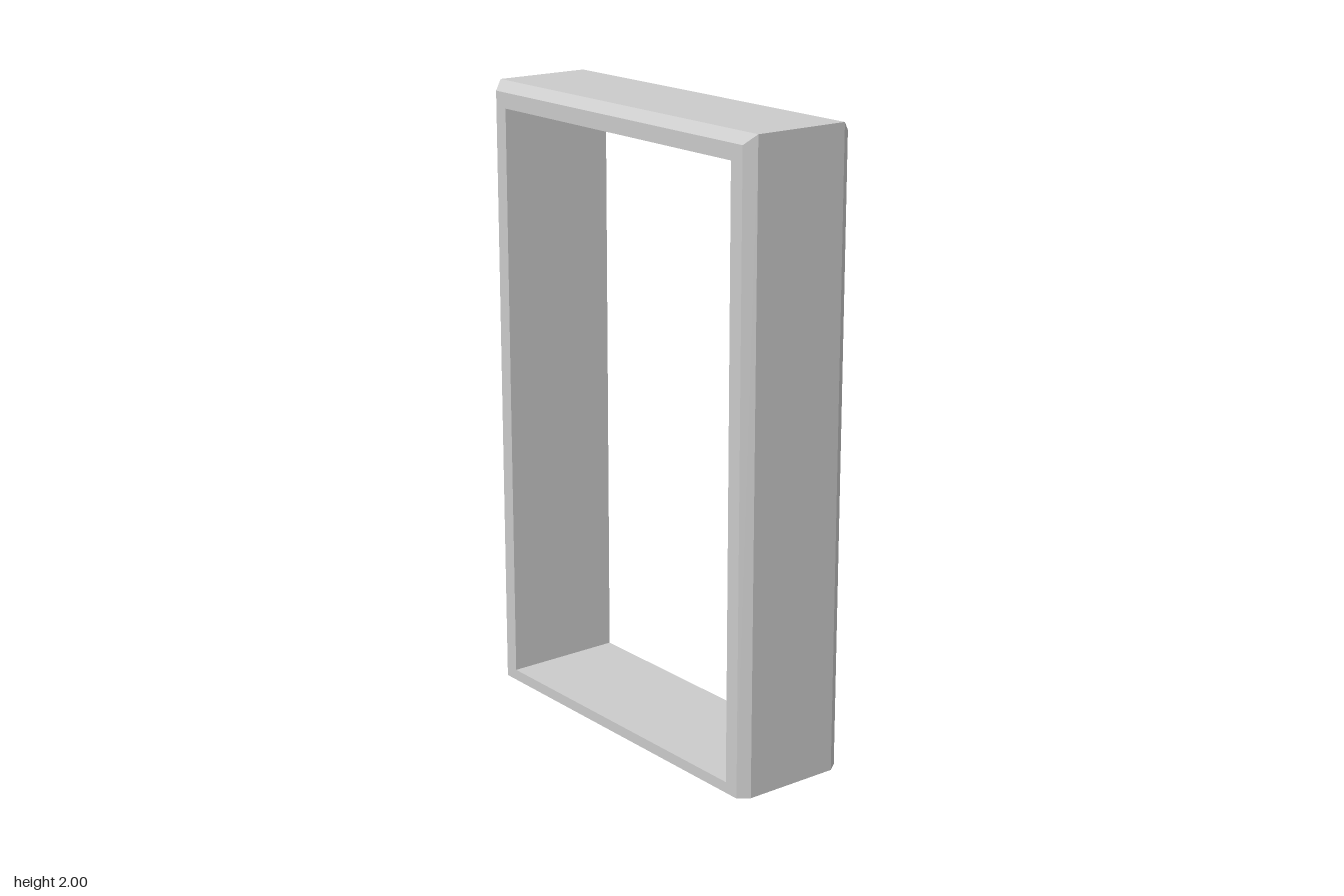
import * as THREE from 'three';

const material = new THREE.MeshStandardMaterial({
  color: 0xcccccc, flatShading: true, side: THREE.DoubleSide,
});

// Corners of one frame outline: up the -x jamb, over the head, down the +x jamb
const outline = (w, bottom, top, z) => [
  [-w, bottom, z], [-w, top, z], [w, top, z], [w, bottom, z],
];

// Flat quads joining two outlines; closed also joins them along the sill
function band(name, a, b, closed) {
  const positions = [];
  const count = closed ? 4 : 3;
  for (let i = 0; i < count; i++) {
    const j = (i + 1) % 4;
    positions.push(...a[i], ...b[i], ...b[j], ...a[i], ...b[j], ...a[j]);
  }
  const geometry = new THREE.BufferGeometry();
  geometry.setAttribute('position', new THREE.Float32BufferAttribute(positions, 3));
  geometry.computeVertexNormals();
  const mesh = new THREE.Mesh(geometry, material);
  mesh.name = name;
  return mesh;
}

export function createModel() {
  const group = new THREE.Group();
  group.name = 'doorFrame';

  const faceZ = 0.195, sideZ = 0.16;
  const opening = (z) => outline(0.55, 0.035, 1.92, z);
  const faceEdge = (z) => outline(0.6, 0, 1.97, z);
  const side = (z) => outline(0.625, 0, 2, z);

  // Hollow casing, open underneath: faces, bevels and outer sides
  group.add(
    band('backFace', opening(-faceZ), faceEdge(-faceZ), true),
    band('backBevel', faceEdge(-faceZ), side(-sideZ), false),
    band('outerSides', side(-sideZ), side(sideZ), false),
    band('frontBevel', side(sideZ), faceEdge(faceZ), false),
    band('frontFace', faceEdge(faceZ), opening(faceZ), true),
    // Lining of the opening, including the sill
    band('openingLining', opening(faceZ), opening(-faceZ), true),
  );
  return group;
}
